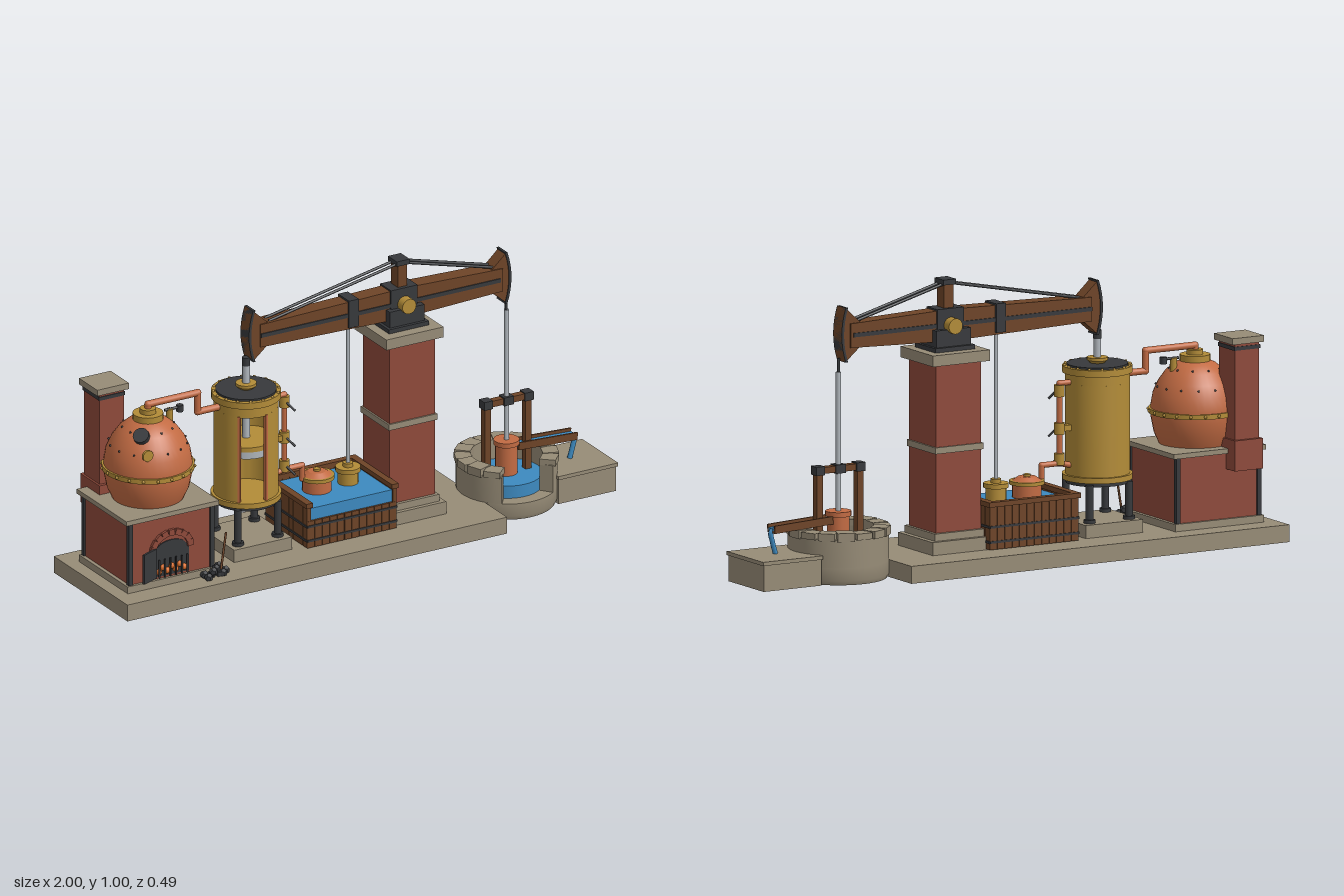
import * as THREE from 'three';
import { toCreasedNormals } from 'three/addons/utils/BufferGeometryUtils.js';

export function createModel() {
  const root = new THREE.Group();
  root.name = 'beamEngine';
  const M = {};
  const colours = { stone: 0x978c77, brick: 0x8f4a3b, copper: 0xc26b43, brass: 0xb38c38, wood: 0x6e4427,
    iron: 0x37393c, steel: 0xb2b8be, water: 0x3d8ac0, ember: 0xe0702c };
  for (const [name, color] of Object.entries(colours)) {
    M[name] = new THREE.MeshStandardMaterial({ color, side: THREE.DoubleSide });
    M[name].name = name;
  }

  // Helpers
  const add = (name, mat, geo, x = 0, y = 0, z = 0) => {
    const m = new THREE.Mesh(geo, M[mat]);
    m.name = name;
    m.position.set(x, y, z);
    root.add(m);
    return m;
  };
  // box given by x, y and z ranges
  const box = (name, mat, x0, x1, y0, y1, z0, z1) =>
    add(name, mat, new THREE.BoxGeometry(x1 - x0, y1 - y0, z1 - z0), (x0 + x1) / 2, (y0 + y1) / 2, (z0 + z1) / 2);
  // square block around an x centre
  const block = (name, mat, x, z, hx, hz, y0, y1) => box(name, mat, x - hx, x + hx, y0, y1, z - hz, z + hz);
  const cyl = (name, mat, r, x, z, y0, y1, seg = 24, rTop = r) =>
    add(name, mat, new THREE.CylinderGeometry(rTop, r, y1 - y0, seg), x, (y0 + y1) / 2, z);
  const lathe = (name, mat, pts, x, z, start = 0, len = Math.PI * 2, seg = 40) =>
    add(name, mat, toCreasedNormals(new THREE.LatheGeometry(pts.map(p => new THREE.Vector2(...p)), seg, start, len), 0.6), x, 0, z);
  const rod = (name, mat, a, b, r, seg = 10) => {
    const p = new THREE.Vector3(...a), q = new THREE.Vector3(...b);
    const m = add(name, mat, new THREE.CylinderGeometry(r, r, p.distanceTo(q), seg));
    m.position.copy(p).add(q).multiplyScalar(0.5);
    m.quaternion.setFromUnitVectors(new THREE.Vector3(0, 1, 0), q.sub(p).normalize());
    return m;
  };
  const ball = (name, mat, r, x, y, z, seg = 8) => add(name, mat, new THREE.SphereGeometry(r, seg, seg - 2), x, y, z);
  const pipe = (name, pts, r) => pts.forEach((p, i) => {
    if (i) rod(name, 'copper', pts[i - 1], p, r, 12);
    ball(name + 'Elbow', 'copper', r * 1.05, ...p, 12);
  });
  const ring = (name, mat, n, r, x, y, z, size) => {
    for (let i = 0; i < n; i++) {
      const a = i / n * Math.PI * 2;
      ball(name, mat, size, x + r * Math.sin(a), y, z + r * Math.cos(a), 6);
    }
  };
  const extrude = (name, mat, pts, depth) => {
    const g = new THREE.ExtrudeGeometry(new THREE.Shape(pts.map(p => new THREE.Vector2(...p))), { depth, bevelEnabled: false });
    return add(name, mat, g.translate(0, 0, -depth / 2));
  };

  box('baseSlab', 'stone', -1, 0.49, 0.015, 0.075, -0.245, 0.245);

  // Furnace
  const fx = -0.775;
  block('furnaceFooting', 'stone', fx, 0, 0.175, 0.162, 0.075, 0.1);
  block('furnaceBody', 'brick', fx, 0, 0.162, 0.152, 0.1, 0.325);
  block('furnaceCap', 'stone', fx, 0, 0.182, 0.165, 0.325, 0.342);
  for (const sx of [-1, 1]) for (const sz of [-1, 1])
    block('cornerPost', 'iron', fx + sx * 0.16, sz * 0.15, 0.008, 0.008, 0.1, 0.325);
  block('fireboxOpening', 'iron', fx, 0.153, 0.07, 0.003, 0.108, 0.2);
  const arch = add('fireboxArch', 'iron', new THREE.CylinderGeometry(0.062, 0.062, 0.006, 24, 1, false, Math.PI / 2, Math.PI), fx, 0.2, 0.153);
  arch.rotation.x = Math.PI / 2;
  arch.scale.z = 0.55;
  for (let i = 0; i < 9; i++) {
    const a = (i + 0.5) / 9 * Math.PI;
    const b = add('archBrick', 'brick', new THREE.BoxGeometry(0.022, 0.023, 0.012), fx + 0.074 * Math.cos(a), 0.2 + 0.062 * Math.sin(a), 0.156);
    b.rotation.z = a;
  }
  for (let i = 0; i < 7; i++) ball('ember', 'ember', 0.012, fx - 0.05 + i * 0.0165, 0.126 + (i % 2) * 0.014, 0.157, 6);
  for (let i = 0; i < 6; i++) block('grateBar', 'iron', fx - 0.055 + i * 0.022, 0.169, 0.0025, 0.0025, 0.108, 0.175);
  const door = add('fireboxDoor', 'iron', new THREE.BoxGeometry(0.07, 0.108, 0.008), -0.87, 0.162, 0.173);
  door.rotation.y = 0.4;

  // Chimney
  const cx = -0.862, cz = -0.145;
  block('chimneyFoot', 'brick', cx, cz, 0.055, 0.064, 0.27, 0.375);
  block('chimney', 'brick', cx, cz, 0.048, 0.052, 0.375, 0.705);
  block('chimneyBand', 'iron', cx, cz, 0.051, 0.055, 0.683, 0.696);
  block('chimneyCap', 'stone', cx, cz, 0.062, 0.061, 0.705, 0.727);

  // Copper boiler with fittings
  lathe('boiler', 'copper', [[0, 0.34], [0.122, 0.34], [0.14, 0.38], [0.15, 0.43], [0.151, 0.47], [0.143, 0.515], [0.125, 0.555],
    [0.1, 0.59], [0.07, 0.615], [0.04, 0.628], [0, 0.63]], fx, 0);
  lathe('boilerBand', 'brass', [[0.145, 0.446], [0.158, 0.446], [0.158, 0.463], [0.145, 0.463]], fx, 0);
  ring('bandBolt', 'brass', 20, 0.159, fx, 0.455, 0, 0.006);
  ring('rivet', 'iron', 14, 0.134, fx, 0.54, 0, 0.004);
  ring('rivet', 'iron', 10, 0.09, fx, 0.6, 0, 0.004);
  cyl('boilerCollar', 'brass', 0.052, fx, 0, 0.615, 0.645);
  cyl('boilerNeck', 'brass', 0.028, fx, 0, 0.645, 0.662);
  const hatch = cyl('hatch', 'iron', 0.028, -0.84, 0.068, 0.582, 0.606, 16);
  hatch.rotation.set(0.5, 0, 0.55);
  const gauge = cyl('gauge', 'brass', 0.02, -0.85, 0.125, 0.542, 0.552, 16);
  gauge.rotation.x = Math.PI / 2;
  cyl('safetyValve', 'brass', 0.012, -0.69, 0, 0.59, 0.64, 12);
  rod('valveLever', 'iron', [-0.71, 0.638, 0], [-0.64, 0.638, 0], 0.005);
  cyl('valveWeight', 'iron', 0.012, -0.65, 0, 0.622, 0.646, 12);
  pipe('steamPipe', [[fx, 0.655, 0], [fx, 0.675, 0], [-0.58, 0.675, 0], [-0.58, 0.605, 0], [-0.49, 0.605, 0]], 0.012);

  // Coal heap and shovel
  for (let i = 0; i < 9; i++)
    add('coal', 'iron', new THREE.DodecahedronGeometry(0.015), -0.655 + (i % 5) * 0.021, 0.085 + (i > 5 ? 0.016 : 0), 0.2 - (i % 3) * 0.014 - (i % 5) * 0.004);
  rod('shovelHandle', 'wood', [-0.595, 0.09, 0.18], [-0.56, 0.215, 0.155], 0.004);
  box('shovelBlade', 'iron', -0.615, -0.585, 0.077, 0.092, 0.165, 0.195);

  // Steam cylinder on legs, with a cut-away window
  const sx = -0.39, g0 = -0.75, g1 = 0.14;
  block('cylinderPlinth', 'stone', sx, 0, 0.113, 0.113, 0.075, 0.12);
  for (const a of [-1, 1]) for (const b of [-1, 1]) {
    cyl('leg', 'iron', 0.013, sx + a * 0.078, b * 0.078, 0.12, 0.25, 12);
    cyl('legFoot', 'iron', 0.02, sx + a * 0.078, b * 0.078, 0.12, 0.132, 12);
  }
  cyl('cylinderBottomPlate', 'iron', 0.108, sx, 0, 0.243, 0.258, 40);
  cyl('cylinderBottomFlange', 'brass', 0.12, sx, 0, 0.256, 0.275, 40);
  lathe('cylinderWall', 'brass', [[0.1, 0.27], [0.11, 0.27], [0.11, 0.59], [0.1, 0.59], [0.1, 0.27]], sx, 0, g1, Math.PI * 2 + g0 - g1, 48);
  for (const a of [g0, g1]) {
    const e = add('windowEdge', 'copper', new THREE.BoxGeometry(0.008, 0.315, 0.014), sx + 0.106 * Math.sin(a), 0.432, 0.106 * Math.cos(a));
    e.rotation.y = a;
  }
  cyl('cylinderUpperWall', 'brass', 0.11, sx, 0, 0.585, 0.63, 40);
  cyl('cylinderTopFlange', 'brass', 0.119, sx, 0, 0.622, 0.645, 40);
  ring('flangeBolt', 'brass', 16, 0.112, sx, 0.646, 0, 0.006);
  cyl('cylinderLid', 'iron', 0.104, sx, 0, 0.64, 0.652, 40);
  cyl('gland', 'brass', 0.022, sx, 0, 0.65, 0.662, 20, 0.036);
  cyl('glandTop', 'brass', 0.036, sx, 0, 0.662, 0.672, 20);
  cyl('piston', 'steel', 0.098, sx, 0, 0.43, 0.455, 32);
  cyl('pistonBand', 'brass', 0.099, sx, 0, 0.455, 0.472, 32);
  cyl('pistonRod', 'steel', 0.013, sx, 0, 0.455, 0.745, 14);
  cyl('rodCoupling', 'iron', 0.014, sx, 0, 0.735, 0.765, 12);

  // Valve pipe on the cylinder's side
  pipe('valvePipe', [[-0.285, 0.595, 0], [-0.24, 0.595, 0], [-0.24, 0.32, 0], [-0.17, 0.32, 0], [-0.17, 0.27, 0]], 0.01);
  pipe('lowerValvePipe', [[-0.285, 0.31, 0], [-0.24, 0.32, 0]], 0.01);
  for (const y of [0.57, 0.44, 0.335]) {
    cyl('valveBody', 'brass', 0.018, -0.24, 0, y - 0.02, y + 0.02, 14);
    rod('valveHandle', 'iron', [-0.24, y, 0.015], [-0.215, y - 0.03, 0.03], 0.004);
  }
  box('valveBracket', 'brass', -0.29, -0.24, 0.43, 0.45, -0.012, 0.012);

  // Cold water cistern, low at the front
  const [tx0, tx1, tz] = [-0.232, 0.118, 0.14];
  box('cisternWater', 'water', tx0 + 0.014, tx1 - 0.014, 0.09, 0.218, -tz + 0.014, tz - 0.008);
  const nx = 12, nz = 9, wx = (tx1 - tx0) / nx, wz = 2 * tz / nz;
  for (let i = 0; i < nx; i++) {
    const a = tx0 + i * wx;
    box('frontPlank', 'wood', a + 0.001, a + wx - 0.001, 0.078, 0.175, tz - 0.014, tz);
    box('backPlank', 'wood', a + 0.001, a + wx - 0.001, 0.078, 0.232, -tz, -tz + 0.014);
  }
  for (let i = 0; i < nz; i++) for (const x of [tx0, tx1 - 0.014])
    box('sidePlank', 'wood', x, x + 0.014, 0.078, 0.232, -tz + i * wz + 0.001, -tz + (i + 1) * wz - 0.001);
  box('backRail', 'wood', tx0 - 0.006, tx1 + 0.006, 0.225, 0.242, -tz - 0.006, -tz + 0.018);
  for (const x of [tx0, tx1 - 0.014]) box('sideRail', 'wood', x - 0.006, x + 0.02, 0.225, 0.242, -tz, tz + 0.004);
  for (const y of [0.1, 0.152]) for (const s of [-1, 1]) {
    box('cisternBand', 'iron', tx0, tx1, y, y + 0.008, s * tz - 0.003, s * tz + 0.003);
    box('cisternSideBand', 'iron', (s < 0 ? tx0 : tx1) - 0.003, (s < 0 ? tx0 : tx1) + 0.003, y, y + 0.008, -tz, tz);
  }
  cyl('condenser', 'copper', 0.05, -0.112, 0, 0.1, 0.268);
  cyl('condenserRim', 'brass', 0.06, -0.112, 0, 0.262, 0.275);
  cyl('condenserLid', 'copper', 0.05, -0.112, 0, 0.275, 0.288, 24, 0.03);
  cyl('condenserKnob', 'brass', 0.012, -0.112, 0, 0.286, 0.296, 12);
  cyl('airPump', 'brass', 0.035, 0.01, 0, 0.1, 0.268);
  cyl('airPumpRim', 'brass', 0.043, 0.01, 0, 0.262, 0.278);
  cyl('airPumpGland', 'brass', 0.018, 0.01, 0, 0.278, 0.292, 14);
  cyl('airPumpRod', 'steel', 0.007, 0.01, 0, 0.28, 0.795, 10);

  // Brick pillar
  const px = 0.21;
  block('pillarFooting', 'stone', px, 0, 0.118, 0.115, 0.075, 0.12);
  block('pillarPlinth', 'stone', px, 0, 0.1, 0.1, 0.12, 0.145);
  block('pillar', 'brick', px, 0, 0.089, 0.088, 0.145, 0.72);
  block('pillarBand', 'stone', px, 0, 0.095, 0.094, 0.418, 0.44);
  block('pillarCap', 'stone', px, 0, 0.112, 0.107, 0.722, 0.76);

  // Rocking beam with arched heads
  extrude('beam', 'wood', [[-0.35, 0.802], [px, 0.788], [0.6, 0.802], [0.6, 0.885], [px, 0.898], [-0.35, 0.885]], 0.06);
  for (const s of [-1, 1]) box('beamStrip', 'iron', -0.35, 0.59, 0.838, 0.852, s * 0.031 - 0.003, s * 0.031 + 0.003);
  const head = (ex, d) => {
    const arc = [];
    for (let i = 0; i <= 8; i++) {
      const t = i / 4 - 1;
      arc.push([ex - d * 0.016 * t * t, 0.847 + t * 0.094]);
    }
    extrude('beamHead', 'wood', [...arc, [ex - d * 0.075, 0.887], [ex - d * 0.075, 0.803]], 0.05);
    extrude('headPlate', 'iron', [...arc, ...arc.map(([x, y]) => [x - d * 0.009, y]).reverse()], 0.057);
    rod('headChain', 'iron', [ex - d * 0.004, 0.765, 0], [ex - d * 0.004, 0.71, 0], 0.005);
  };
  head(-0.395, -1);
  head(0.635, 1);
  block('beamStrap', 'iron', 0.012, 0, 0.019, 0.037, 0.8, 0.9);
  block('kingPost', 'wood', px, 0, 0.018, 0.023, 0.88, 0.985);
  block('kingPostCap', 'iron', px, 0, 0.025, 0.03, 0.982, 1);
  for (const z of [-0.014, 0.014]) {
    rod('stay', 'iron', [px, 0.988, z], [-0.31, 0.885, z], 0.005);
    rod('stay', 'iron', [px, 0.988, z], [0.58, 0.888, z], 0.005);
  }
  block('pivotBase', 'iron', px, 0, 0.078, 0.067, 0.758, 0.775);
  block('pivotChair', 'iron', px, 0, 0.068, 0.055, 0.775, 0.833);
  block('pivotClamp', 'iron', px, 0, 0.052, 0.037, 0.83, 0.902);
  cyl('pivotPin', 'brass', 0.027, px, 0, 0.775, 0.915, 24).rotation.x = Math.PI / 2;

  // Well with an opening in its front wall
  const wx0 = 0.632, gap = 0.63;
  lathe('wellBase', 'stone', [[0.122, 0.015], [0.165, 0.015], [0.172, 0.03], [0.172, 0.075], [0.122, 0.075], [0.122, 0.015]], wx0, 0);
  lathe('wellWall', 'stone', [[0.122, 0.075], [0.172, 0.075], [0.172, 0.172], [0.122, 0.172], [0.122, 0.075]], wx0, 0, gap, Math.PI * 2 - 2 * gap);
  for (const a of [-gap, gap]) {
    const e = add('wallEnd', 'stone', new THREE.BoxGeometry(0.004, 0.097, 0.05), wx0 + 0.147 * Math.sin(a), 0.1235, 0.147 * Math.cos(a));
    e.rotation.y = a;
  }
  const n = 13, span = (Math.PI * 2 - 2 * gap) / n;
  for (let i = 0; i < n; i++) {
    const a = gap + (i + 0.5) * span;
    const s = add('copingStone', 'stone', new THREE.BoxGeometry(0.058, 0.022 + (i % 3) * 0.004, 0.056), wx0 + 0.148 * Math.sin(a), 0.18, 0.148 * Math.cos(a));
    s.rotation.y = a;
  }
  cyl('wellWater', 'water', 0.122, wx0, 0, 0.045, 0.12, 40);
  cyl('suctionPipe', 'iron', 0.025, wx0, 0, 0, 0.1, 16);

  // Well pump and its frame
  cyl('pumpBarrel', 'copper', 0.038, wx0, 0, 0.08, 0.235);
  cyl('pumpRim', 'copper', 0.044, wx0, 0, 0.225, 0.242);
  cyl('pumpRod', 'steel', 0.009, wx0, 0, 0.2, 0.718, 12);
  for (const s of [-1, 1]) {
    block('framePost', 'wood', wx0 + s * 0.08, 0, 0.012, 0.012, 0.12, 0.38);
    block('postBracket', 'iron', wx0 + s * 0.08, 0, 0.017, 0.018, 0.372, 0.402);
  }
  block('frameCrossbar', 'wood', wx0, 0, 0.095, 0.013, 0.376, 0.398);
  block('rodGuide', 'iron', wx0, 0, 0.019, 0.018, 0.372, 0.402);

  // Spout trough, falling water and drain block
  const trough = new THREE.Group();
  trough.name = 'trough';
  for (const [name, mat, h, d, y, z] of [['troughFloor', 'wood', 0.008, 0.05, -0.01, 0], ['troughWater', 'water', 0.008, 0.036, -0.002, 0],
    ['troughSide', 'wood', 0.026, 0.007, 0, 0.022], ['troughSide', 'wood', 0.026, 0.007, 0, -0.022]]) {
    const m = add(name, mat, new THREE.BoxGeometry(0.23, h, d), 0, y, z);
    trough.add(m);
  }
  trough.position.set(0.782, 0.21, 0);
  trough.rotation.z = -0.05;
  root.add(trough);
  const fall = new THREE.CatmullRomCurve3([[0.885, 0.203], [0.898, 0.192], [0.892, 0.16], [0.88, 0.118]].map(p => new THREE.Vector3(...p, 0)));
  add('fallingWater', 'water', new THREE.TubeGeometry(fall, 12, 0.009, 8));
  box('drainBlock', 'stone', 0.768, 0.995, 0.015, 0.105, -0.115, 0.115);
  box('drainBlockTop', 'stone', 0.765, 1, 0.105, 0.118, -0.12, 0.12);
  return root;
}
